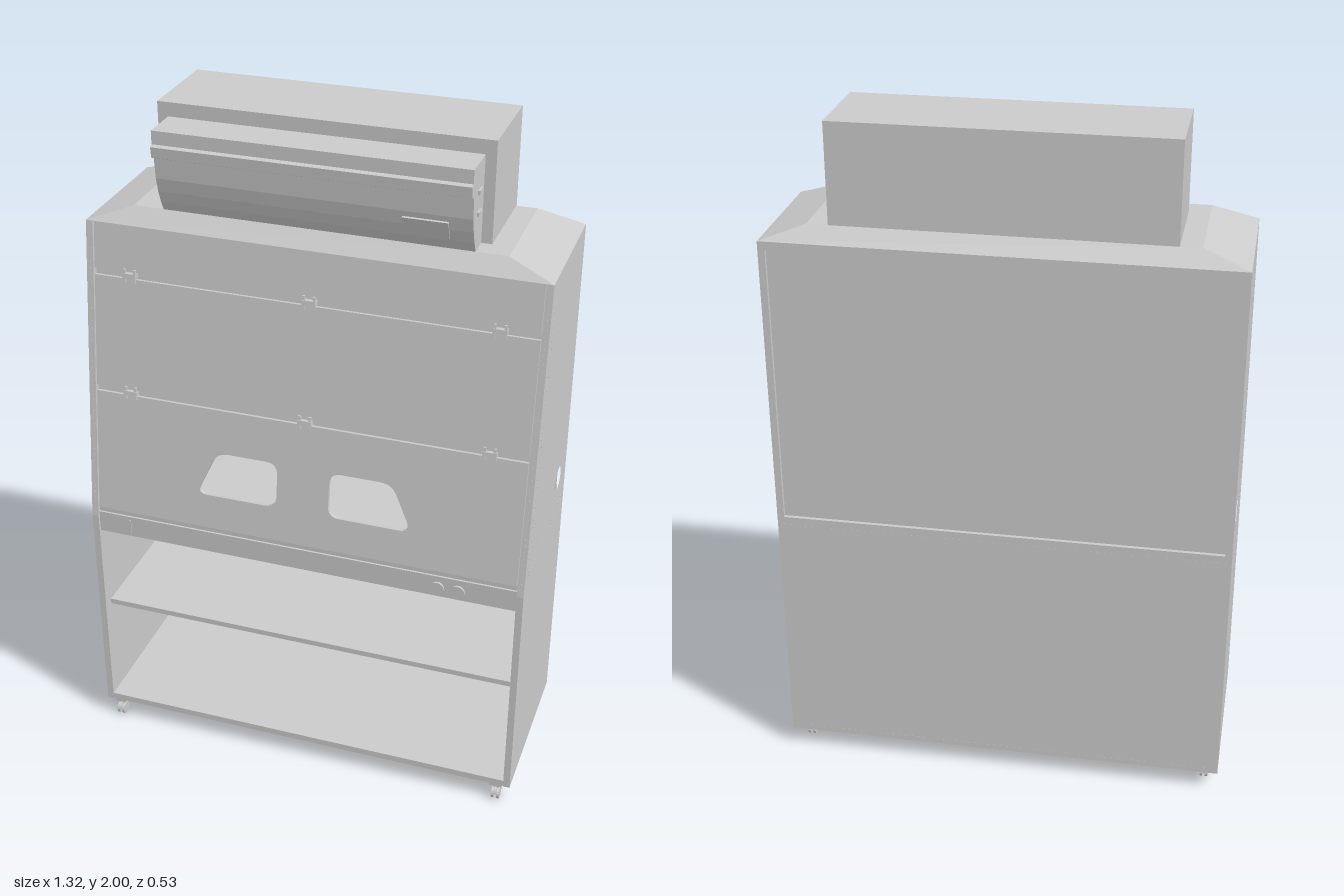
import * as THREE from 'three';
import { mergeGeometries } from 'three/addons/utils/BufferGeometryUtils.js';

const grey = new THREE.MeshStandardMaterial({ color: 0xcccccc, flatShading: true });
const smooth = new THREE.MeshStandardMaterial({ color: 0xcccccc });

function add(parent, name, geometry, x = 0, y = 0, z = 0, material = grey) {
  const mesh = new THREE.Mesh(geometry, material);
  mesh.name = name;
  mesh.position.set(x, y, z);
  parent.add(mesh);
  return mesh;
}

// Box given by its limits on each axis
function box(parent, name, [x0, x1], [y0, y1], [z0, z1]) {
  return add(parent, name, new THREE.BoxGeometry(x1 - x0, y1 - y0, z1 - z0),
    (x0 + x1) / 2, (y0 + y1) / 2, (z0 + z1) / 2);
}

// Extrudes a [z, y] outline along x, from x0 to x1
function sideExtrude(points, x0, x1, hole) {
  const shape = new THREE.Shape(points.map(([z, y]) => new THREE.Vector2(-z, y)));
  if (hole) shape.holes.push(new THREE.Path().absarc(-hole.z, hole.y, hole.r, 0, Math.PI * 2, true));
  return new THREE.ExtrudeGeometry(shape, { depth: x1 - x0, bevelEnabled: false, curveSegments: 16 })
    .rotateY(Math.PI / 2).translate(x0, 0, 0);
}

// Closed path through corners, each rounded off by r
function roundedPath(corners, r) {
  const p = corners.map(([x, y]) => new THREE.Vector2(x, y));
  const path = new THREE.Path();
  p.forEach((c, i) => {
    const towards = (q) => c.clone().add(q.clone().sub(c).setLength(r));
    const a = towards(p[(i + p.length - 1) % p.length]);
    const b = towards(p[(i + 1) % p.length]);
    if (i === 0) path.moveTo(a.x, a.y); else path.lineTo(a.x, a.y);
    path.quadraticCurveTo(c.x, c.y, b.x, b.y);
  });
  path.closePath();
  return path;
}

// Row of small rivet heads between two points, lying along the given axis
function rivets(parent, name, from, to, axis) {
  const a = new THREE.Vector3(...from), b = new THREE.Vector3(...to);
  const n = Math.round(a.distanceTo(b) / 0.02);
  const heads = [];
  for (let i = 0; i <= n; i++) {
    const g = new THREE.CylinderGeometry(0.003, 0.003, 0.002, 6);
    if (axis === 'x') g.rotateZ(Math.PI / 2);
    if (axis === 'z') g.rotateX(Math.PI / 2);
    const p = a.clone().lerp(b, i / n);
    heads.push(g.translate(p.x, p.y, p.z));
  }
  add(parent, name, mergeGeometries(heads));
}

function buildCaster() {
  const caster = new THREE.Group();
  caster.name = 'caster';
  box(caster, 'casterPlate', [-0.018, 0.018], [0.052, 0.06], [-0.03, 0.02]);
  box(caster, 'casterStem', [-0.008, 0.008], [0.036, 0.054], [-0.016, 0.008]);
  for (const s of [-1, 1]) {
    const wheel = new THREE.CylinderGeometry(0.019, 0.019, 0.008, 16).rotateZ(Math.PI / 2);
    add(caster, 'casterWheel', wheel, s * 0.008, 0.019, 0.006, grey);
  }
  const hood = new THREE.CylinderGeometry(0.022, 0.022, 0.006, 12, 1, false, 0, Math.PI).rotateZ(Math.PI / 2);
  add(caster, 'casterHood', hood, 0, 0.022, 0.004).material = grey;
  return caster;
}

export function createModel() {
  const model = new THREE.Group();
  model.name = 'safetyCabinet';

  // Side walls, each with a round service port
  const outline = [[0.26, 0.06], [0.26, 0.76], [0.15, 1.67], [-0.265, 1.67], [-0.265, 0.06]];
  for (const s of [-1, 1]) {
    const x0 = s > 0 ? 0.64 : -0.66;
    add(model, 'sideWall', sideExtrude(outline, x0, x0 + 0.02, { z: -0.152, y: 0.91, r: 0.035 }));
    rivets(model, 'sideRivets', [s * 0.66, 0.82, 0.212], [s * 0.66, 1.6, 0.115], 'x');
    rivets(model, 'sideRivets', [s * 0.66, 0.808, 0.212], [s * 0.66, 0.808, -0.22], 'x');
  }

  // Base, shelves, work surface and back
  const inner = [-0.64, 0.64];
  box(model, 'floor', inner, [0.06, 0.08], [-0.265, 0.258]);
  box(model, 'shelf', inner, [0.413, 0.43], [-0.25, 0.225]);
  box(model, 'workSurface', inner, [0.78, 0.80], [-0.25, 0.235]);
  box(model, 'lowerBack', inner, [0.08, 0.82], [-0.265, -0.25]);
  box(model, 'upperBack', inner, [0.82, 1.67], [-0.254, -0.244]);
  box(model, 'backHeader', inner, [1.645, 1.67], [-0.265, -0.254]);
  rivets(model, 'backRivets', [-0.64, 0.795, -0.265], [0.64, 0.795, -0.265], 'z');
  rivets(model, 'backRivets', [-0.64, 0.075, -0.265], [0.64, 0.075, -0.265], 'z');
  for (const s of [-1, 1]) {
    box(model, 'rearPost', [s * 0.625 - 0.015, s * 0.625 + 0.015], [0.08, 0.78], [-0.25, -0.225]);
  }

  // Control panel with two knobs and a switch
  box(model, 'controlPanel', inner, [0.705, 0.772], [0.235, 0.252]);
  box(model, 'sashSill', inner, [0.772, 0.79], [0.225, 0.246]);
  for (const x of [0.41, 0.47]) {
    const knob = new THREE.CylinderGeometry(0.021, 0.021, 0.008, 24).rotateX(Math.PI / 2);
    add(model, 'knob', knob, x, 0.733, 0.254);
  }
  box(model, 'panelSwitch', [-0.543, -0.537], [0.715, 0.76], [0.252, 0.255]);

  // Sloping front: local y runs up the slope
  const front = new THREE.Group();
  front.name = 'slopingFront';
  front.position.set(0, 0.76, 0.26);
  front.rotation.x = -Math.atan2(0.11, 0.91);
  model.add(front);
  const up = (y) => (y - 0.76) * 1.0073;

  // Lower sash with two arm ports
  const sash = new THREE.Shape([[-0.638, 0.79], [0.638, 0.79], [0.638, 1.165], [-0.638, 1.165]]
    .map(([x, y]) => new THREE.Vector2(x, up(y))));
  for (const s of [-1, 1]) {
    const corners = [[0.325, 0.895], [0.078, 0.895], [0.078, 1.033], [0.262, 1.033]];
    sash.holes.push(roundedPath(corners.map(([x, y]) => [s * x, up(y)]), 0.035));
  }
  add(front, 'lowerSash', new THREE.ExtrudeGeometry(sash, { depth: 0.012, bevelEnabled: false, curveSegments: 6 }), 0, 0, -0.016);
  box(front, 'middleSash', [-0.638, 0.638], [up(1.183), up(1.515)], [-0.016, -0.004]);
  box(front, 'upperSash', [-0.638, 0.638], [up(1.535), up(1.67)], [-0.016, -0.004]);

  // Recessed rails and hinges between the sashes
  for (const y of [1.174, 1.525]) {
    box(front, 'sashRail', [-0.638, 0.638], [up(y - 0.015), up(y + 0.015)], [-0.026, -0.014]);
    for (const x of [-0.53, 0, 0.53]) {
      box(front, 'hingeBarrel', [x - 0.02, x + 0.02], [up(y) - 0.007, up(y) + 0.007], [-0.014, 0.005]);
      for (const s of [-1, 1]) {
        const cx = x + s * 0.015;
        box(front, 'hingeLeaf', [cx - 0.004, cx + 0.004], [up(y) - 0.019, up(y) + 0.019], [-0.006, 0.003]);
      }
    }
  }
  for (const s of [-1, 1]) rivets(front, 'frontRivets', [s * 0.65, up(0.8), 0], [s * 0.65, up(1.65), 0], 'z');

  // Hipped roof: a box with its top corners drawn in
  const roof = new THREE.BoxGeometry(1.32, 0.045, 0.415);
  const pos = roof.attributes.position;
  for (let i = 0; i < pos.count; i++) {
    if (pos.getY(i) > 0) {
      pos.setX(i, Math.sign(pos.getX(i)) * 0.53);
      pos.setZ(i, pos.getZ(i) > 0 ? 0.1675 : -0.1675);
    }
  }
  roof.computeVertexNormals();
  add(model, 'roof', roof, 0, 1.6925, -0.0575);

  // Exhaust housing with the curved control head in front of it
  box(model, 'exhaustHousing', [-0.47, 0.47], [1.715, 2], [-0.23, 0.05]);
  const head = [[0.05, 1.715], [0.11, 1.715], [0.126, 1.745], [0.14, 1.78], [0.15, 1.82], [0.156, 1.88],
    [0.172, 1.887], [0.175, 1.917], [0.165, 1.922], [0.165, 1.96], [0.05, 1.96]];
  add(model, 'controlHead', sideExtrude(head, -0.44, 0.44));
  const display = box(model, 'display', [0.25, 0.375], [1.75, 1.805], [0.134, 0.142]);
  display.rotation.x = 0.36;
  for (const y of [1.82, 1.88]) {
    box(model, 'headSocket', [0.44, 0.446], [y - 0.006, y + 0.006], [0.085, 0.115]);
  }

  // Casters
  for (const x of [-0.617, 0.617]) {
    for (const z of [0.238, -0.205]) {
      const caster = buildCaster();
      caster.position.set(x, 0, z);
      model.add(caster);
    }
  }
  return model;
}
